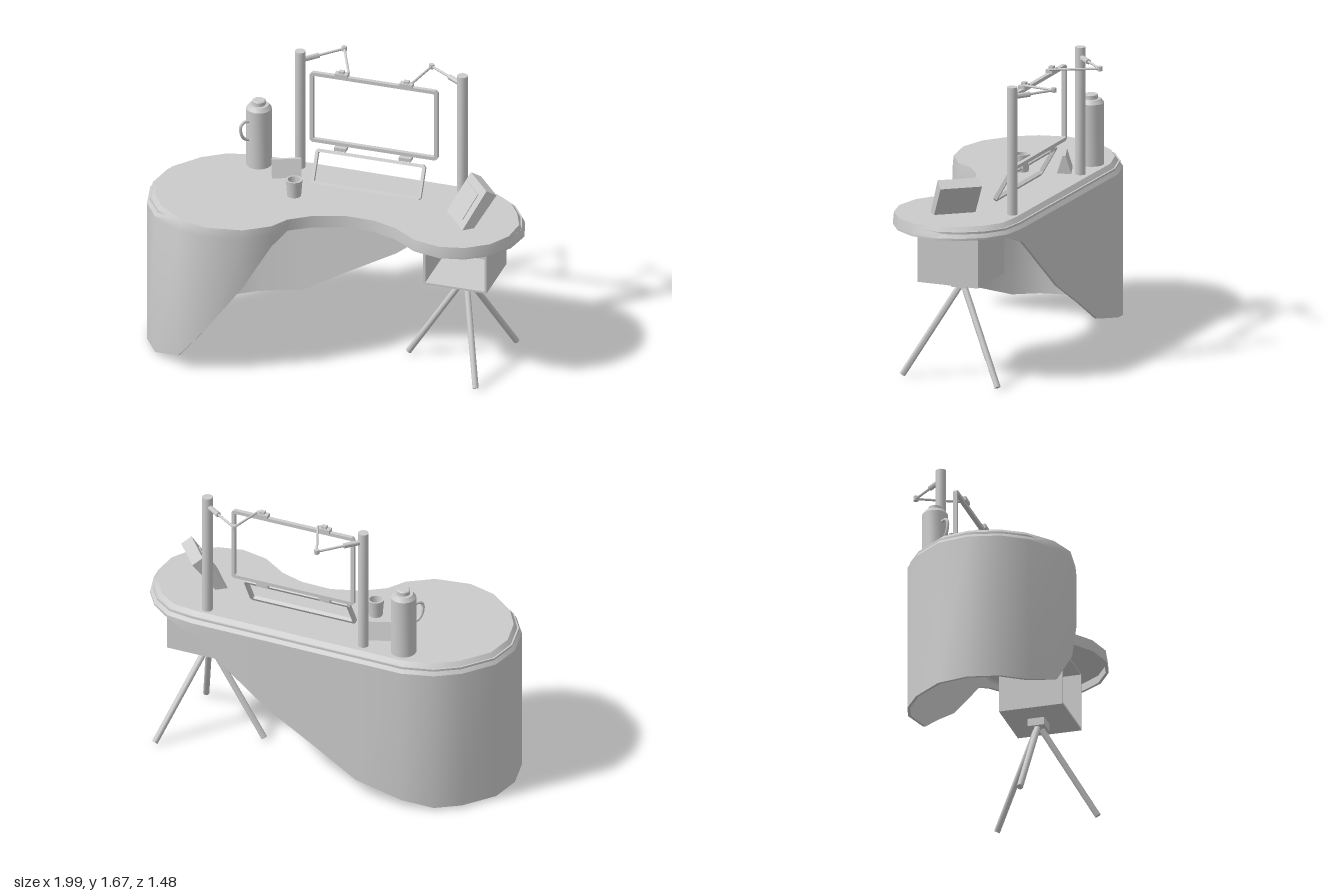
import * as THREE from 'three';
import { toCreasedNormals } from 'three/addons/utils/BufferGeometryUtils.js';

const material = new THREE.MeshStandardMaterial({ color: 0xcccccc, side: THREE.DoubleSide });
const V = (x, y, z) => new THREE.Vector3(x, y, z);
const TOP = 0.935;      // desk top height
const TURN = -0.595;    // shared turn of screens and cabinet

function add(parent, name, geometry, x = 0, y = 0, z = 0) {
  const mesh = new THREE.Mesh(geometry, material);
  mesh.name = name;
  mesh.position.set(x, y, z);
  parent.add(mesh);
  return mesh;
}

function group(parent, name, x, y, z, turn = 0) {
  const g = new THREE.Group();
  g.name = name;
  g.position.set(x, y, z);
  g.rotation.y = turn;
  parent.add(g);
  return g;
}

function box(parent, name, w, h, d, x, y, z) {
  return add(parent, name, new THREE.BoxGeometry(w, h, d), x, y, z);
}

// Cylinder between two points
function rod(parent, name, a, b, r, sides = 10) {
  const dir = b.clone().sub(a);
  const mesh = add(parent, name, toCreasedNormals(new THREE.CylinderGeometry(r, r, dir.length(), sides), 0.8));
  mesh.position.copy(a).add(b).multiplyScalar(0.5);
  mesh.quaternion.setFromUnitVectors(V(0, 1, 0), dir.normalize());
  return mesh;
}

function lathe(parent, name, profile, x, y, z) {
  const points = profile.map(([r, h]) => new THREE.Vector2(r, h));
  return add(parent, name, toCreasedNormals(new THREE.LatheGeometry(points, 20), 0.6), x, y, z);
}

// Prism with its profile in xy, centred in z
function prism(parent, name, points, depth) {
  const shape = new THREE.Shape(points.map(([x, y]) => new THREE.Vector2(x, y)));
  const geometry = new THREE.ExtrudeGeometry(shape, { depth, bevelEnabled: false });
  return add(parent, name, geometry.translate(0, 0, -depth / 2));
}

// Open rectangular frame with clipped corners
function frame(parent, name, w, h, bar, depth) {
  const outline = (a, b, c) => [[-a + c, -b], [a - c, -b], [a, -b + c], [a, b - c],
    [a - c, b], [-a + c, b], [-a, b - c], [-a, -b + c]].map(([x, y]) => new THREE.Vector2(x, y));
  const shape = new THREE.Shape(outline(w / 2, h / 2, 0.014));
  shape.holes.push(new THREE.Path(outline(w / 2 - bar, h / 2 - bar, 0.004)));
  const geometry = new THREE.ExtrudeGeometry(shape, { depth, bevelEnabled: false });
  return add(parent, name, geometry.translate(0, 0, -depth / 2));
}

// Desk outline: x, z, height of the skirt's lower edge, inset of the top edge
const OUTLINE = [
  [-0.595, -0.745, 0.015, 0.045], [-0.435, -0.745, 0.015, 0.045], [-0.26, -0.685, 0.05, 0.045],
  [-0.03, -0.525, 0.11, 0.045], [0.17, -0.387, 0.26, 0.045], [0.41, -0.22, 0.43, 0.045],
  [0.8, 0.05, 0.8, 0.045], [0.915, 0.155, 0.86, 0.045], [0.965, 0.29, 0.865, 0.045],
  [0.965, 0.43, 0.865, 0.045], [0.92, 0.57, 0.865, 0.03], [0.81, 0.68, 0.865, 0.016],
  [0.675, 0.735, 0.865, 0.008], [0.525, 0.735, 0.865, 0.006], [0.39, 0.68, 0.865, 0.005],
  [0.28, 0.565, 0.865, 0.005], [0.215, 0.4, 0.865, 0.005], [0.125, 0.285, 0.865, 0.005],
  [-0.015, 0.185, 0.865, 0.005], [-0.185, 0.137, 0.865, 0.005], [-0.33, 0.14, 0.868, 0.005],
  [-0.44, 0.19, 0.81, 0.005], [-0.61, 0.19, 0.57, 0.005], [-0.8, 0.105, 0.29, 0.01],
  [-0.92, -0.02, 0.08, 0.022], [-1, -0.21, 0.015, 0.04], [-1, -0.375, 0.015, 0.045],
  [-0.93, -0.55, 0.015, 0.045], [-0.8, -0.68, 0.015, 0.045],
];

// Shell joined from rings: top, bevel foot, skirt edge, inner edge, underside
function deskGeometry() {
  const n = OUTLINE.length;
  const ring = (inset, height) => OUTLINE.map((p, i) => {
    const a = OUTLINE[(i + n - 1) % n], b = OUTLINE[(i + 1) % n];
    const normal = new THREE.Vector2(a[1] - b[1], b[0] - a[0]).normalize().multiplyScalar(inset(p));
    return V(p[0] + normal.x, height(p), p[1] + normal.y);
  });
  const rings = [
    ring(p => p[3], () => TOP), ring(() => 0, () => 0.877), ring(() => 0, p => p[2]),
    ring(() => 0.016, p => p[2]), ring(() => 0.016, () => 0.91),
  ];
  const points = [];
  for (let k = 0; k < rings.length - 1; k++) {
    for (let i = 0; i < n; i++) {
      const j = (i + 1) % n, a = rings[k], b = rings[k + 1];
      points.push(a[i], a[j], b[j], a[i], b[j], b[i]);
    }
  }
  const cap = (loop, up) => {
    const flat = loop.map(p => new THREE.Vector2(p.x, p.z));
    for (const [i, j, k] of THREE.ShapeUtils.triangulateShape(flat, [])) {
      const cross = loop[j].clone().sub(loop[i]).cross(loop[k].clone().sub(loop[i]));
      points.push(loop[i], ...(cross.y * up > 0 ? [loop[j], loop[k]] : [loop[k], loop[j]]));
    }
  };
  cap(rings[0], 1);
  cap(rings[4], -1);
  return toCreasedNormals(new THREE.BufferGeometry().setFromPoints(points), 0.55);
}

export function createModel() {
  const model = new THREE.Group();
  model.name = 'curvedDesk';
  add(model, 'deskShell', deskGeometry());

  // Posts with jointed arms: post, elbow and screen mount in x, z
  const arms = [[[-0.09, -0.44], [0.185, -0.5], [0.13, -0.225]], [[0.7, 0.09], [0.595, -0.165], [0.44, -0.02]]];
  for (const [post, elbow, mount] of arms) {
    const g = group(model, 'screenArm', 0, 0, 0);
    const [p, e, m] = [post, elbow, mount].map(([x, z]) => V(x, 1.612, z));
    m.y = 1.605;
    rod(g, 'post', V(p.x, TOP - 0.01, p.z), V(p.x, 1.67, p.z), 0.03, 16);
    rod(g, 'armSleeve', p, p.clone().lerp(e, 0.42), 0.015);
    rod(g, 'upperArm', p, e, 0.007);
    rod(g, 'elbowJoint', V(e.x, 1.6, e.z), V(e.x, 1.626, e.z), 0.015);
    rod(g, 'foreArm', e, m, 0.007);
  }

  // Hinged pair of screen frames
  const screens = group(model, 'screens', 0.2525, 0, -0.137, TURN);
  frame(screens, 'upperScreenFrame', 0.75, 0.44, 0.02, 0.024).position.y = 1.365;
  const lower = frame(screens, 'lowerScreenFrame', 0.645, 0.2, 0.018, 0.022);
  lower.position.set(-0.007, 1.032, 0.08);
  lower.rotation.x = -0.52;
  for (const x of [-0.19, 0.19]) {
    box(screens, 'screenMount', 0.075, 0.022, 0.04, x, 1.592, 0);
    box(screens, 'mountPin', 0.03, 0.025, 0.025, x, 1.605, 0);
    box(screens, 'screenHinge', 0.07, 0.02, 0.045, x, 1.134, 0.015);
  }

  // Vacuum flask with handle
  const flask = group(model, 'flask', -0.3, TOP, -0.54, 0.3);
  lathe(flask, 'flaskBody', [[0, 0], [0.072, 0], [0.072, 0.355], [0.055, 0.378], [0.038, 0.378],
    [0.038, 0.4], [0.032, 0.405], [0, 0.405]], 0, 0, 0);
  const grip = [[-0.06, 0.285], [-0.1, 0.29], [-0.122, 0.27], [-0.115, 0.21], [-0.09, 0.18], [-0.06, 0.17]];
  const path = new THREE.CatmullRomCurve3(grip.map(([x, y]) => V(x, y, 0)));
  add(flask, 'flaskHandle', new THREE.TubeGeometry(path, 16, 0.009, 8));

  // Cup
  lathe(model, 'cup', [[0, 0], [0.039, 0], [0.047, 0.1], [0.036, 0.1], [0.031, 0.02], [0, 0.02]], -0.215, TOP, -0.13);

  // Small tent-shaped card
  const card = prism(model, 'deskCard', [[-0.04, 0], [0.04, 0], [0.008, 0.103], [-0.008, 0.103]], 0.165);
  card.position.set(-0.19, TOP, -0.37);
  card.rotation.y = Math.PI / 2 - 0.23;

  // Leaning display with a raised screen panel
  const display = group(model, 'display', 0.66, TOP, 0.4, 0.09);
  prism(display, 'displayBody', [[-0.1, 0], [-0.03, 0], [0.105, 0.182], [0.045, 0.22]], 0.24);
  const panel = box(display, 'displayScreen', 0.17, 0.006, 0.165, -0.031, 0.107, -0.015);
  panel.rotation.z = Math.atan2(0.22, 0.145);

  // Open cabinet under the desk, opening towards local +z
  const cabinet = group(model, 'cabinet', 0.633, 0.74, 0.368, TURN);
  const w = 0.37, h = 0.35, t = 0.012;
  for (const s of [-1, 1]) {
    box(cabinet, 'cabinetSide', t, h, w, s * (w - t) / 2, 0, 0);
    box(cabinet, s < 0 ? 'cabinetFloor' : 'cabinetTop', w - 2 * t, t, w, 0, s * (h - t) / 2, 0);
  }
  box(cabinet, 'cabinetBack', w - 2 * t, h - 2 * t, t, 0, 0, -(w - t) / 2);

  // Tripod
  const hub = V(0.642, 0.545, 0.36);
  box(model, 'tripodHub', 0.098, 0.05, 0.098, hub.x, hub.y, hub.z).rotation.y = TURN;
  for (const [x, z] of [[0.6, 0.695], [0.365, 0.165], [0.975, 0.222]]) {
    const foot = V(x, 0.012, z);
    rod(model, 'tripodLeg', hub.clone().lerp(foot, 0.06), foot, 0.018, 10);
  }
  return model;
}
